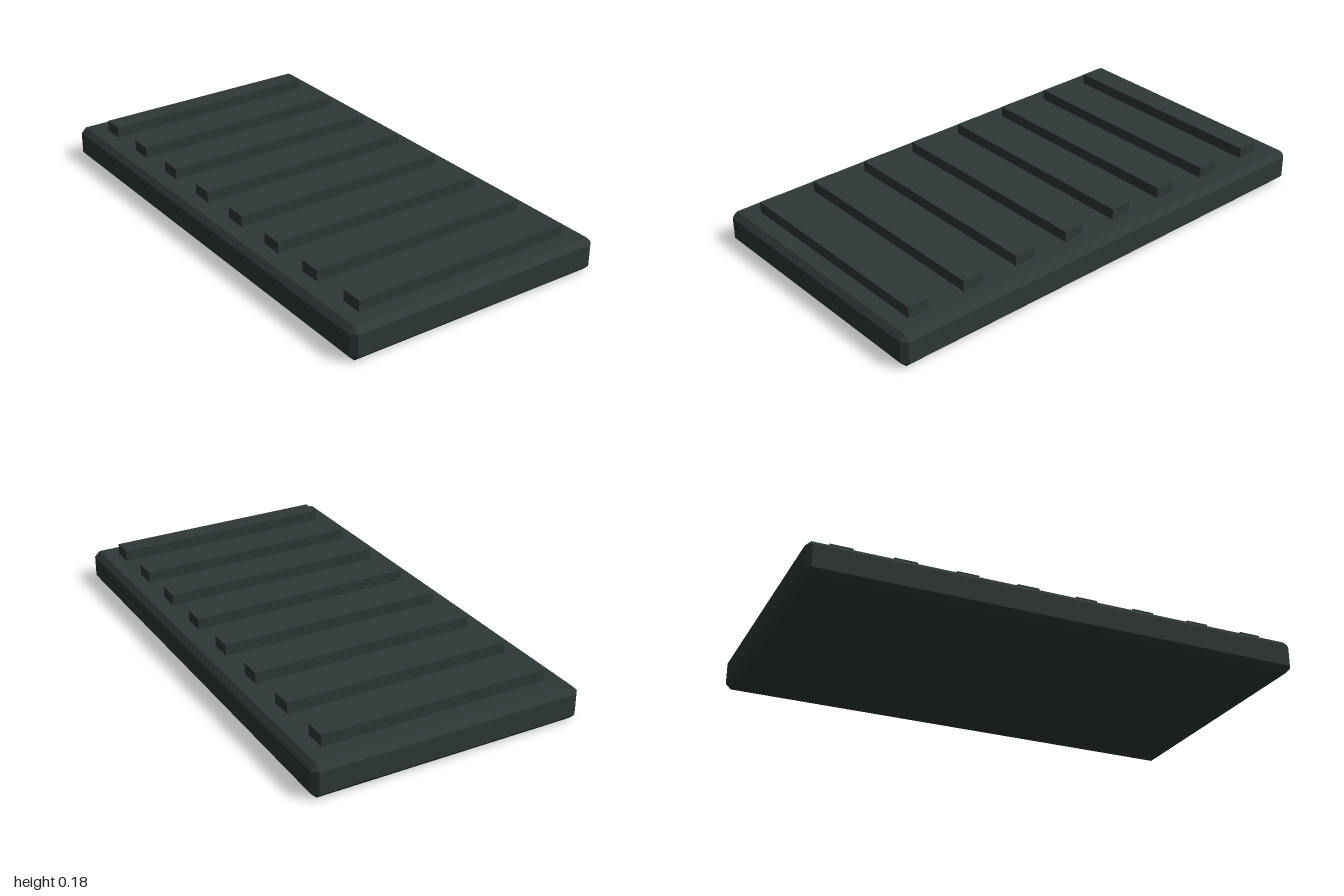
import * as THREE from 'three';
import { ConvexGeometry } from 'three/addons/geometries/ConvexGeometry.js';

// Box with every edge chamfered by c, given half sizes
function chamferedBox(hx, hy, hz, c) {
  const points = [];
  for (const sx of [-1, 1]) for (const sy of [-1, 1]) for (const sz of [-1, 1]) {
    points.push(
      new THREE.Vector3(sx * hx, sy * (hy - c), sz * (hz - c)),
      new THREE.Vector3(sx * (hx - c), sy * hy, sz * (hz - c)),
      new THREE.Vector3(sx * (hx - c), sy * (hy - c), sz * hz)
    );
  }
  return new ConvexGeometry(points);
}

export function createModel() {
  const model = new THREE.Group();
  model.name = 'ribbedPlate';

  const darkRubber = new THREE.MeshStandardMaterial({ color: 0x2f3836 });
  darkRubber.name = 'darkRubber';

  // Base slab
  const slabHeight = 0.133;
  const slab = new THREE.Mesh(chamferedBox(1, slabHeight / 2, 0.555, 0.022), darkRubber);
  slab.name = 'slab';
  slab.position.y = slabHeight / 2;
  model.add(slab);

  // Row of raised ribs, slightly off centre
  const ribs = new THREE.Group();
  ribs.name = 'ribs';
  const ribGeometry = new THREE.BoxGeometry(0.089, 0.045, 0.934);
  for (let i = 0; i < 8; i++) {
    const rib = new THREE.Mesh(ribGeometry, darkRubber);
    rib.name = `rib${i + 1}`;
    rib.position.set(-0.848 + i * 0.245, slabHeight + 0.0225, 0);
    ribs.add(rib);
  }
  model.add(ribs);

  return model;
}
